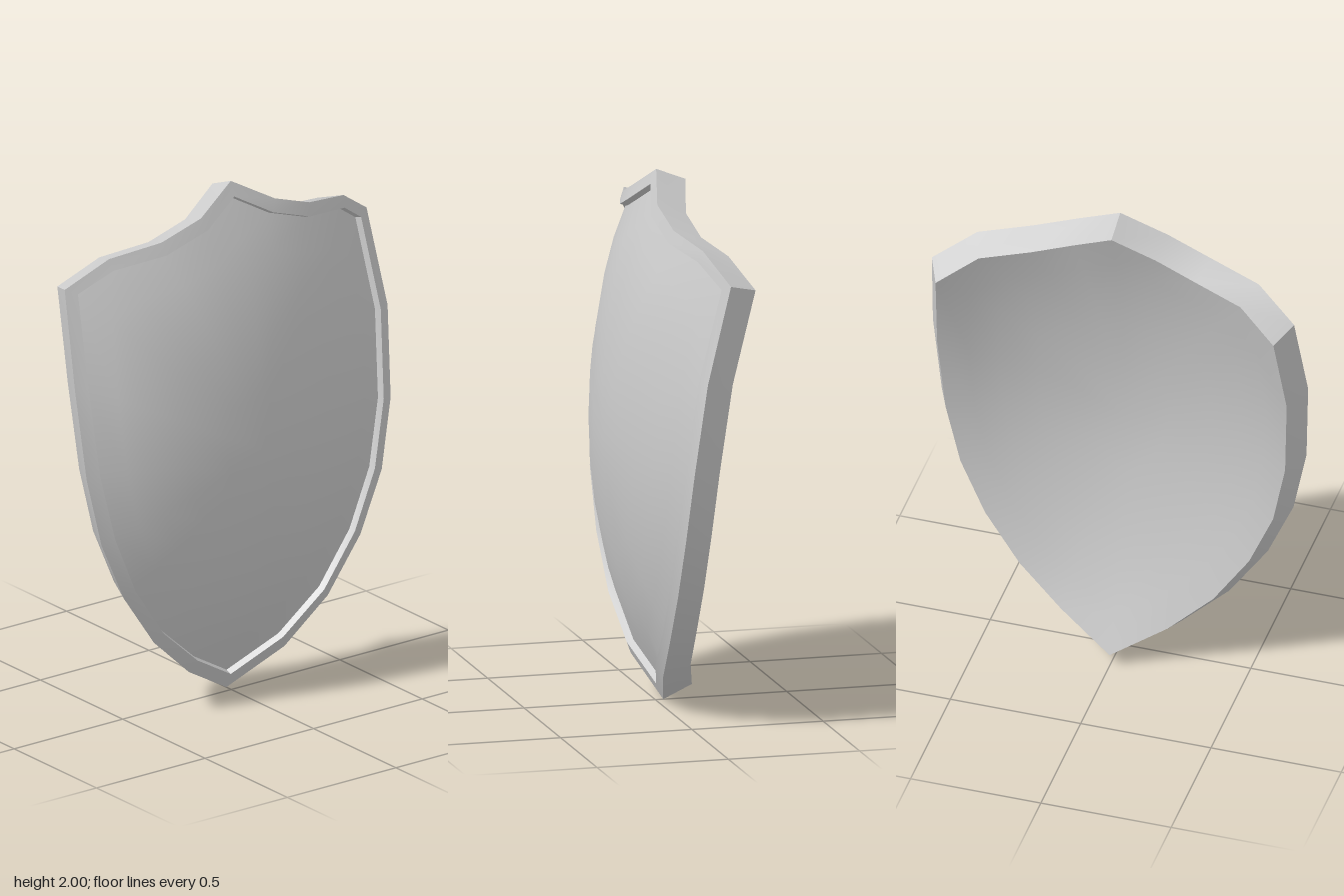
import * as THREE from 'three';
import { toCreasedNormals } from 'three/addons/utils/BufferGeometryUtils.js';

const THICKNESS = 0.12;
const STEP = 0.025;

// Right half of the outer rim edge, top tip to bottom tip: x, y, z
const OUTER = [
  [0, 2, -0.003], [0.17, 1.905, 0.04], [0.34, 1.845, 0.025], [0.54, 1.81, -0.03],
  [0.695, 1.705, -0.095], [0.72, 1.345, 0], [0.7, 1.0, 0.045], [0.645, 0.735, 0.063],
  [0.545, 0.505, 0.066], [0.4, 0.295, 0.058], [0.22, 0.13, 0.033], [0, 0, -0.03],
];
// Matching inner edge of the rim: x, y
const INNER = [
  [0, 1.945], [0.15, 1.86], [0.33, 1.797], [0.532, 1.767], [0.652, 1.685], [0.673, 1.345],
  [0.653, 1.01], [0.598, 0.755], [0.505, 0.53], [0.37, 0.33], [0.197, 0.177], [0, 0.06],
];

// Curved body of the shield
const domeZ = (x, y) => 0.2 - 0.316 * x * x - (y > 1 ? 0.2 : 0.232) * (y - 1) ** 2;

// Point moved back along the dome normal
function pushBack(p) {
  const n = new THREE.Vector3(0.632 * p.x, (p.y > 1 ? 0.4 : 0.464) * (p.y - 1), 1).normalize();
  return p.clone().addScaledVector(n, -THICKNESS);
}

// Full loop, clockwise seen from the front, from a right half
function mirrorLoop(half) {
  const left = half.slice(1, -1).reverse().map((p) => new THREE.Vector3(-p.x, p.y, p.z));
  return [...half, ...left];
}

// Loop shrunk towards the centre, following the dome; edge offset fades inwards
function shrink(loop, t) {
  return loop.map((p) => {
    const x = p.x * t;
    const y = 1 + (p.y - 1) * t;
    return new THREE.Vector3(x, y, domeZ(x, y) + (p.z - domeZ(p.x, p.y)) * t ** 4);
  });
}

// Skin between successive closed loops
function loft(name, loops, material, crease = 0.5) {
  const pos = [];
  const tri = (a, b, c) => {
    if (a.distanceTo(b) < 1e-5 || b.distanceTo(c) < 1e-5 || c.distanceTo(a) < 1e-5) return;
    pos.push(...a.toArray(), ...b.toArray(), ...c.toArray());
  };
  for (let k = 0; k < loops.length - 1; k++) {
    const a = loops[k];
    const b = loops[k + 1];
    for (let i = 0; i < a.length; i++) {
      const j = (i + 1) % a.length;
      tri(a[i], b[i], a[j]);
      tri(b[i], b[j], a[j]);
    }
  }
  const geometry = new THREE.BufferGeometry();
  geometry.setAttribute('position', new THREE.Float32BufferAttribute(pos, 3));
  const mesh = new THREE.Mesh(toCreasedNormals(geometry, crease), material);
  mesh.name = name;
  return mesh;
}

export function createModel() {
  const group = new THREE.Group();
  group.name = 'shield';
  const material = new THREE.MeshStandardMaterial({ color: 0xcccccc });

  const outer = mirrorLoop(OUTER.map((p) => new THREE.Vector3(...p)));
  const inner = mirrorLoop(INNER.map(([x, y], i) => {
    const [ox, oy, oz] = OUTER[i];
    return new THREE.Vector3(x, y, domeZ(x, y) + oz - domeZ(ox, oy));
  }));
  // Foot of the small step, slightly inside the rim
  const panelEdge = inner.map((p) =>
    new THREE.Vector3(p.x * 0.988, 1 + (p.y - 1) * 0.99, p.z - STEP));
  const back = outer.map(pushBack);

  // Raised border: side wall, front band and step down to the panel
  group.add(loft('sideWall', [back, outer], material));
  group.add(loft('rimFront', [outer, inner], material));
  group.add(loft('rimStep', [inner, panelEdge], material));

  // Domed front panel
  const steps = [1, 0.85, 0.7, 0.5, 0.25, 0];
  group.add(loft('frontPanel', steps.map((t) => shrink(panelEdge, t)), material, 1));

  // Hollow back, parallel to the dome
  const backLoops = steps.map((t) => shrink(outer, t).map(pushBack)).reverse();
  group.add(loft('backFace', backLoops, material, 1));

  return group;
}
